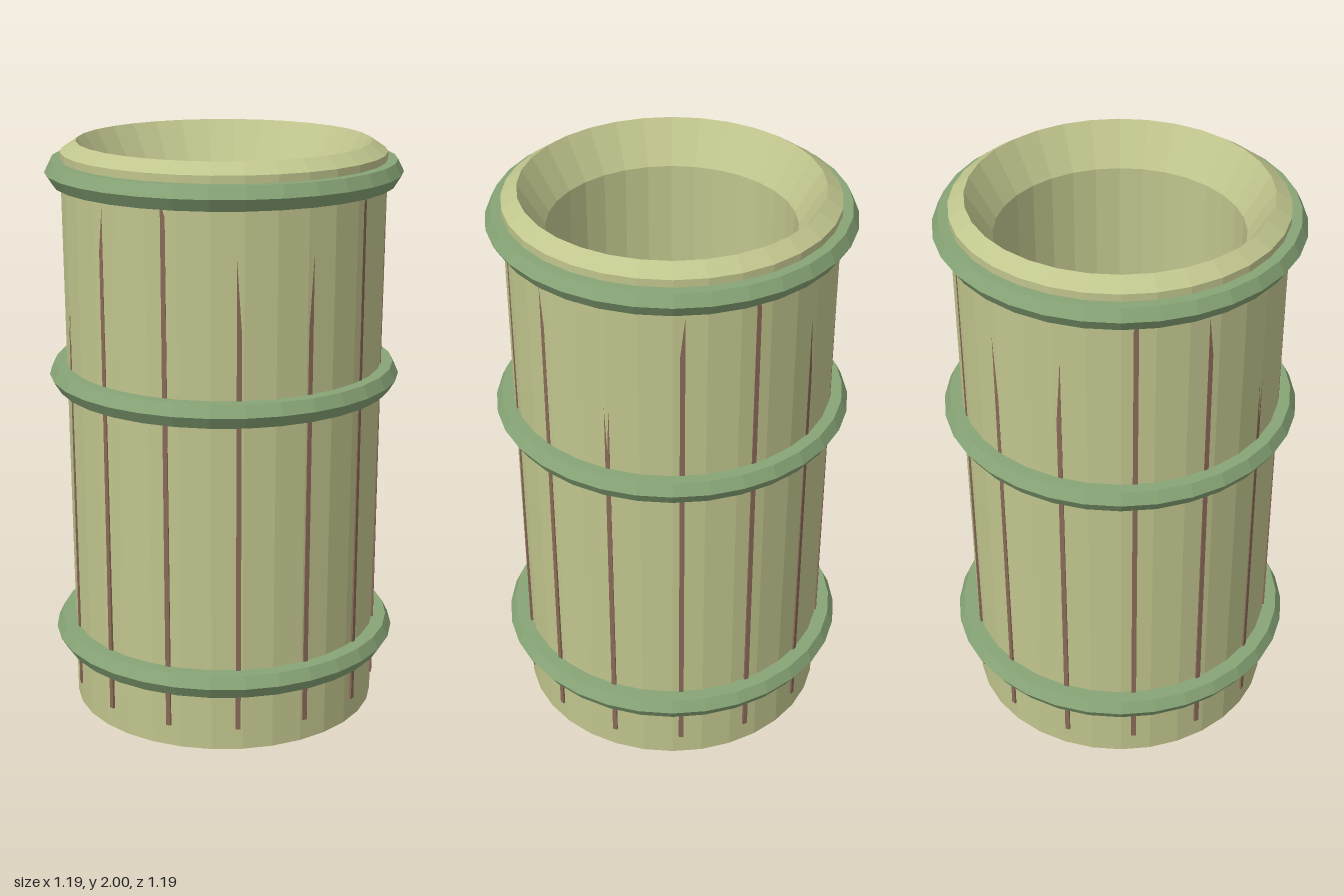
import * as THREE from 'three';

const SIDES = 32;
const paint = (color) => new THREE.MeshStandardMaterial({ color, flatShading: true });
const lathe = (points) =>
  new THREE.LatheGeometry(points.map(([r, y]) => new THREE.Vector2(r, y)), SIDES);

function addMesh(parent, name, geometry, material) {
  const mesh = new THREE.Mesh(geometry, material);
  mesh.name = name;
  parent.add(mesh);
  return mesh;
}

export function createModel() {
  const group = new THREE.Group();
  group.name = 'barrel';
  const bodyPaint = paint(0xc1c58d);
  const hoopPaint = paint(0x88a577);
  const seamPaint = paint(0x8a6a58);

  // Hollow body: chamfered base, tapered wall, bevelled lip, funnel mouth and inner floor
  addMesh(group, 'body', lathe([
    [0, 0], [0.33, 0], [0.525, 0.035], [0.542, 1.965], [0.49, 2],
    [0.405, 1.86], [0.39, 0.05], [0, 0.05],
  ]), bodyPaint);

  // Three hoops with a pointed outer edge
  const hoop = lathe([
    [0.5, -0.04], [0.57, -0.04], [0.595, 0], [0.575, 0.04], [0.5, 0.04], [0.5, -0.04],
  ]);
  for (const y of [0.285, 1.213, 1.9]) {
    addMesh(group, 'hoop', hoop, hoopPaint).position.y = y;
  }

  // Thin seams between the staves, leaning outward and sinking into the wall near the top
  const seamCount = 14;
  const seam = new THREE.BoxGeometry(0.016, 1.75, 0.02);
  for (let i = 0; i < seamCount; i++) {
    const pivot = new THREE.Group();
    pivot.name = 'seam';
    pivot.rotation.y = ((i + 0.5) / seamCount) * Math.PI * 2;
    const strip = addMesh(pivot, 'seamStrip', seam, seamPaint);
    strip.position.set(0, 0.985, 0.525);
    strip.rotation.x = 0.004;
    group.add(pivot);
  }

  return group;
}
